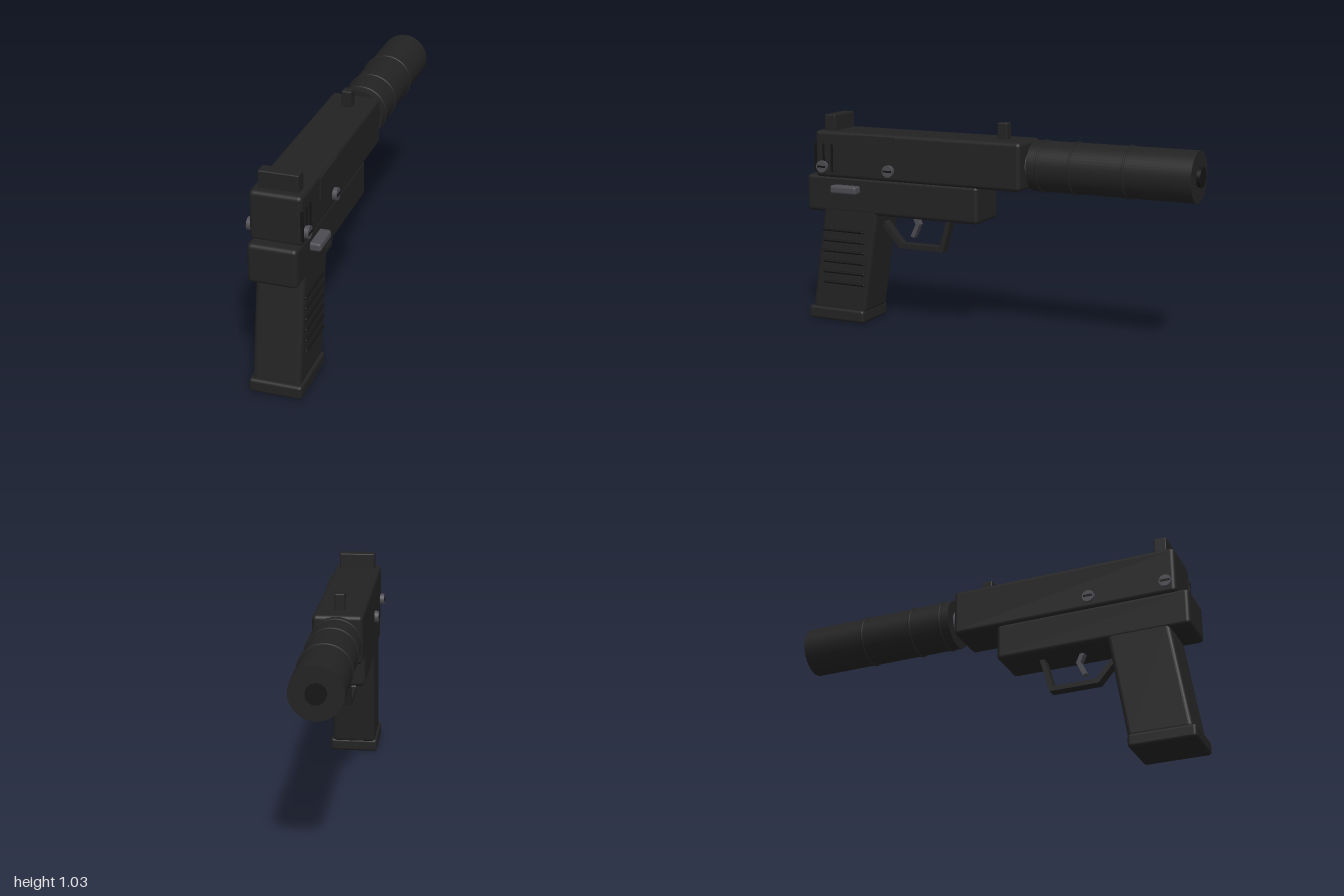
import * as THREE from 'three';
import { RoundedBoxGeometry } from 'three/addons/geometries/RoundedBoxGeometry.js';

export function createModel() {
  const model = new THREE.Group();
  const mat = (name, color) => {
    const m = new THREE.MeshStandardMaterial({ color });
    m.name = name;
    return m;
  };
  const body = mat('charcoal', 0x222222);
  const dark = mat('nearBlack', 0x141414);
  const steel = mat('steelGrey', 0x4a4a50);
  const CX = -0.011, BORE = 0.835;

  const add = (name, geo, m, parent = model) => {
    const mesh = new THREE.Mesh(geo, m);
    mesh.name = name;
    parent.add(mesh);
    return mesh;
  };
  // Box given by its limits on each axis, with optional rounded edges
  const box = (name, [x0, x1], [y0, y1], [z0, z1], m, r = 0) => {
    const d = [x1 - x0, y1 - y0, z1 - z0];
    const geo = r ? new RoundedBoxGeometry(...d, 3, r) : new THREE.BoxGeometry(...d);
    geo.translate((x0 + x1) / 2, (y0 + y1) / 2, (z0 + z1) / 2);
    return add(name, geo, m);
  };
  // Cylinder along the bore between two z positions
  const tube = (name, r, z0, z1, m) => {
    const geo = new THREE.CylinderGeometry(r, r, z1 - z0, 48).rotateX(Math.PI / 2);
    return add(name, geo.translate(CX, BORE, (z0 + z1) / 2), m);
  };

  // Upper and lower body
  box('slide', [-0.128, 0.106], [0.72, 0.95], [-0.16, 0.945], body, 0.02);
  box('frame', [-0.122, 0.101], [0.548, 0.73], [0.06, 1.0], body, 0.02);

  // Raked grip: a rounded box sheared along z
  const grip = new RoundedBoxGeometry(0.22, 0.53, 0.3, 3, 0.02);
  const p = grip.attributes.position;
  for (let i = 0; i < p.count; i++) p.setZ(i, p.getZ(i) - p.getY(i) * 0.155);
  grip.translate(-0.01, 0.315, 0.793);
  grip.computeVertexNormals();
  add('grip', grip, body);
  box('gripBase', [-0.132, 0.112], [0, 0.065], [0.685, 1.0], body, 0.015);

  // Raised ribs on the grip's left side
  for (let i = 0; i < 6; i++) {
    const rib = new THREE.CapsuleGeometry(0.007, 0.22, 4, 10).rotateX(Math.PI / 2);
    add('gripRib', rib, dark).position.set(0.104, 0.46 - i * 0.053, 0.795);
  }

  // Sights
  box('rearSight', [-0.1, 0.08], [0.93, 1.027], [0.842, 0.903], body, 0.006);
  box('frontSight', [-0.035, 0.013], [0.93, 1.027], [-0.053, 0], body, 0.006);

  // Barrel and its long cylindrical sleeve
  tube('barrel', 0.062, -0.22, -0.14, steel);
  tube('sleeve', 0.119, -0.982, -0.19, body);
  for (const z of [-0.24, -0.4, -0.66]) {
    add('sleeveRing', new THREE.TorusGeometry(0.119, 0.006, 8, 48), body).position.set(CX, BORE, z);
  }
  tube('muzzleDisc', 0.045, -1.0, -0.98, dark);

  // Side plate and upright ridges on the slide
  box('sidePlate', [0.1, 0.112], [0.83, 0.938], [0.5, 0.72], body);
  for (const z of [0.848, 0.895, 0.943]) {
    box('slideRidge', [0.1, 0.112], [0.75, 0.888], [z - 0.005, z + 0.005], dark);
  }

  // Slotted screws on both sides
  for (const side of [1, -1]) {
    for (const z of [0.9, 0.53]) {
      const screw = new THREE.Group();
      screw.name = 'screw';
      screw.position.set(CX + side * 0.125, 0.775, z);
      add('screwHead', new THREE.CylinderGeometry(0.029, 0.029, 0.024, 24).rotateZ(Math.PI / 2), steel, screw);
      add('screwSlot', new THREE.BoxGeometry(0.008, 0.009, 0.044), dark, screw).position.x = side * 0.012;
      model.add(screw);
    }
  }
  box('lever', [0.095, 0.15], [0.65, 0.69], [0.695, 0.84], steel, 0.012);

  // Bent strip of constant thickness through side-view points [z, y]
  const strip = (name, pts, thick, width, m) => {
    const v = pts.map(([z, y]) => new THREE.Vector2(-z, y));
    const normal = (a, b) => new THREE.Vector2(a.y - b.y, b.x - a.x).normalize();
    const offset = (s) => v.map((q, i) => {
      const a = normal(v[Math.max(i - 1, 0)], v[Math.max(i, 1)]);
      const b = normal(v[Math.min(i, v.length - 2)], v[Math.min(i + 1, v.length - 1)]);
      const n = a.clone().add(b).normalize();
      return q.clone().addScaledVector(n, s * thick / 2 / n.dot(a));
    });
    const shape = new THREE.Shape([...offset(1), ...offset(-1).reverse()]);
    const geo = new THREE.ExtrudeGeometry(shape, { depth: width, bevelEnabled: false });
    geo.translate(0, 0, -width / 2).rotateY(Math.PI / 2);
    add(name, geo, m).position.x = CX;
  };
  strip('triggerGuard', [[0.63, 0.51], [0.525, 0.392], [0.3, 0.392], [0.252, 0.56]], 0.024, 0.05, body);
  strip('trigger', [[0.457, 0.56], [0.432, 0.505], [0.462, 0.44]], 0.02, 0.035, steel);

  return model;
}
